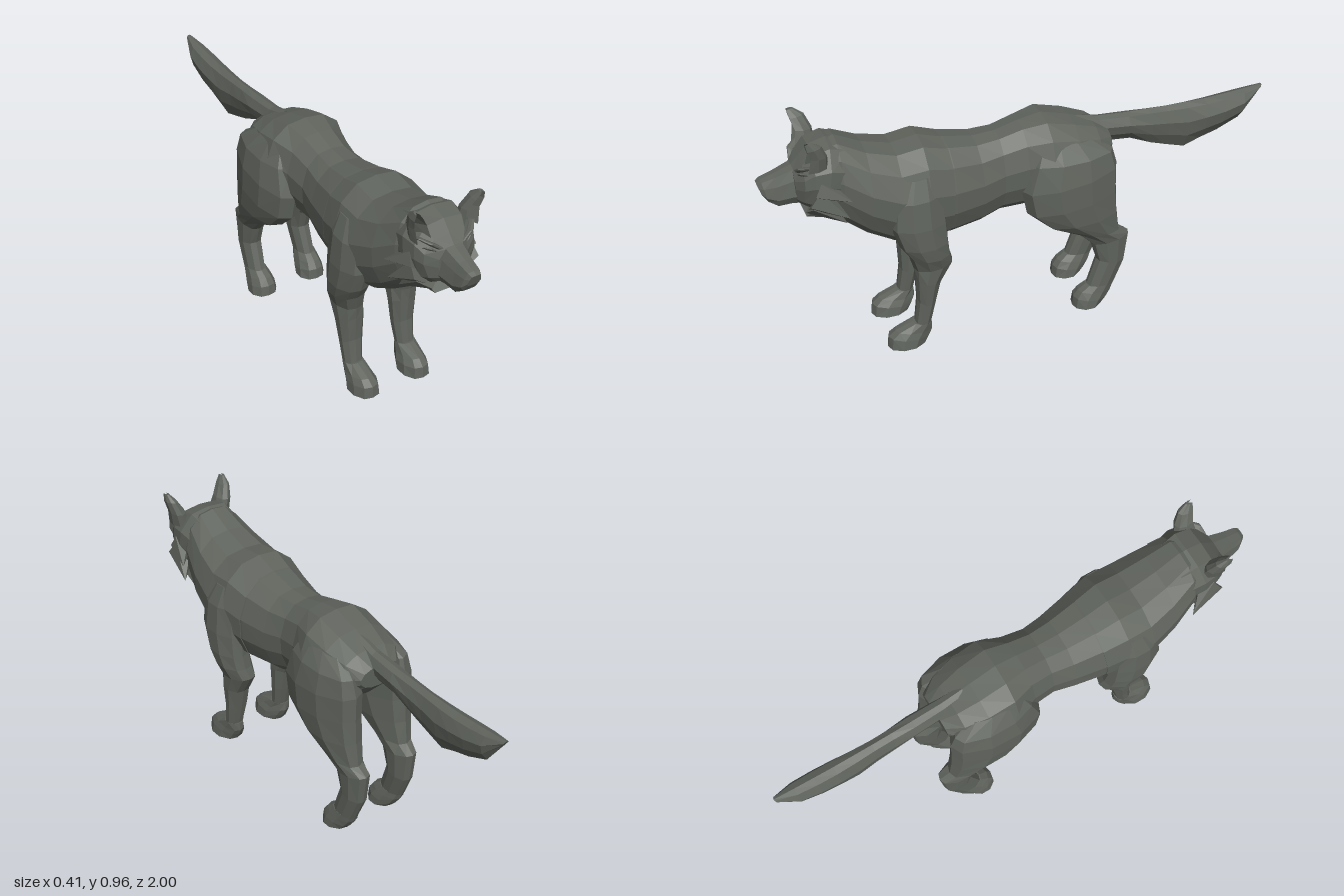
import * as THREE from 'three';

const fur = new THREE.MeshStandardMaterial({ color: 0x60645d, flatShading: true });
fur.name = 'dark grey fur';

// Half cross-sections: [width factor, position from +1 (first point) to -1 (second point)]
const TORSO = [[0, 1], [0.45, 0.95], [0.82, 0.68], [1, 0.2], [0.97, -0.25], [0.75, -0.68], [0.42, -0.92], [0, -1]];
const LIMB = [[0, 1], [0.6, 0.88], [1, 0.35], [1, -0.3], [0.55, -0.88], [0, -1]];
const HEAD = [[0, 1], [0.6, 0.93], [0.98, 0.45], [1, 0], [0.8, -0.65], [0.45, -0.95], [0, -1]];
const SNOUT = [[0, 1], [0.6, 0.95], [0.85, 0.4], [1, -0.45], [0.65, -0.95], [0, -1]];
const EAR = [[0, -0.25], [0.85, 1], [1, 0.1], [0.65, -0.7], [0, -1]];
const TAIL = [[0, 1], [0.6, 0.85], [1, 0.3], [0.75, -0.35], [0, -1]];

// Loft through rows of [z1, y1, z2, y2, halfWidth, centreX]
function loft(name, rows, half, side = 1) {
  const profile = [...half, ...half.slice(1, -1).reverse().map(([w, t]) => [-w, t])];
  const n = profile.length;
  const rings = rows.map(([z1, y1, z2, y2, w, cx = 0]) => profile.map(([u, t]) => {
    const k = (1 - t) / 2;
    return new THREE.Vector3(side * (cx + u * w), y1 + (y2 - y1) * k, z1 + (z2 - z1) * k);
  }));
  const tris = [];
  for (let r = 0; r < rings.length - 1; r++) {
    for (let i = 0; i < n; i++) {
      const j = (i + 1) % n, a = rings[r], b = rings[r + 1];
      tris.push([a[i], b[i], b[j]], [a[i], b[j], a[j]]);
    }
  }
  const cap = (ring, flip) => {
    const c = ring.reduce((s, p) => s.add(p), new THREE.Vector3()).divideScalar(n);
    ring.forEach((p, i) => {
      const q = ring[(i + 1) % n];
      tris.push(flip ? [c, q, p] : [c, p, q]);
    });
  };
  cap(rings[0], false);
  cap(rings[rings.length - 1], true);
  // Turn the whole surface outward when its enclosed volume is negative
  const volume = tris.reduce((s, [a, b, c]) => s + a.dot(b.clone().cross(c)), 0);
  const points = tris.flatMap(([a, b, c]) => (volume < 0 ? [a, c, b] : [a, b, c]));
  const geo = new THREE.BufferGeometry().setFromPoints(points);
  geo.computeVertexNormals();
  const mesh = new THREE.Mesh(geo, fur);
  mesh.name = name;
  return mesh;
}

// Pointed fur tuft from a base to a tip
function tuft(name, base, tip, radius) {
  const a = new THREE.Vector3(...base), b = new THREE.Vector3(...tip);
  const dir = b.clone().sub(a);
  const mesh = new THREE.Mesh(new THREE.ConeGeometry(radius, dir.length(), 5), fur);
  mesh.position.copy(a).add(b).multiplyScalar(0.5);
  mesh.quaternion.setFromUnitVectors(new THREE.Vector3(0, 1, 0), dir.normalize());
  mesh.name = name;
  return mesh;
}

export function createModel() {
  const model = new THREE.Group();
  model.name = 'wolf';

  // Shoulders, neck and chest: the mane ends in a small step over the back
  model.add(loft('chestAndNeck', [
    [0.76, 0.885, 0.76, 0.62, 0.1],
    [0.71, 0.905, 0.71, 0.56, 0.13],
    [0.61, 0.855, 0.62, 0.49, 0.16],
    [0.5, 0.825, 0.52, 0.435, 0.18],
    [0.4, 0.84, 0.41, 0.42, 0.182],
    [0.3, 0.808, 0.32, 0.42, 0.165],
  ], TORSO));

  // Waist, hips and rump
  model.add(loft('waistAndHips', [
    [0.38, 0.82, 0.36, 0.425, 0.165],
    [0.3, 0.81, 0.3, 0.422, 0.162],
    [0.19, 0.79, 0.18, 0.44, 0.14],
    [0.1, 0.795, 0.1, 0.468, 0.125],
    [0.01, 0.82, 0.01, 0.47, 0.135],
    [-0.08, 0.836, -0.08, 0.49, 0.17],
    [-0.19, 0.805, -0.18, 0.53, 0.165],
    [-0.28, 0.77, -0.27, 0.57, 0.14],
    [-0.34, 0.73, -0.335, 0.64, 0.09],
  ], TORSO));

  // Tail with a ragged lower edge
  model.add(loft('tail', [
    [-0.22, 0.795, -0.3, 0.68, 0.03],
    [-0.31, 0.772, -0.34, 0.655, 0.036],
    [-0.43, 0.763, -0.45, 0.645, 0.04],
    [-0.52, 0.76, -0.54, 0.605, 0.036],
    [-0.6, 0.757, -0.6, 0.585, 0.036],
    [-0.68, 0.757, -0.68, 0.56, 0.042],
    [-0.76, 0.757, -0.75, 0.585, 0.046],
    [-0.84, 0.762, -0.82, 0.605, 0.046],
    [-0.92, 0.768, -0.91, 0.645, 0.04],
    [-1, 0.776, -0.985, 0.75, 0.012],
  ], TAIL));

  // Skull and muzzle
  model.add(loft('skull', [
    [0.67, 0.88, 0.74, 0.61, 0.12],
    [0.74, 0.903, 0.78, 0.62, 0.13],
    [0.805, 0.885, 0.82, 0.645, 0.122],
    [0.842, 0.845, 0.85, 0.665, 0.105],
    [0.872, 0.812, 0.87, 0.672, 0.06],
  ], HEAD));
  model.add(loft('muzzle', [
    [0.83, 0.83, 0.83, 0.665, 0.065],
    [0.88, 0.81, 0.88, 0.67, 0.056],
    [0.935, 0.79, 0.93, 0.665, 0.046],
    [0.985, 0.775, 0.965, 0.69, 0.04],
    [1, 0.765, 0.985, 0.72, 0.028],
  ], SNOUT));
  model.add(tuft('throatTuft', [0, 0.65, 0.79], [0, 0.545, 0.7], 0.075));

  for (const side of [1, -1]) {
    const label = side > 0 ? 'left' : 'right';
    const add = (part, rows, profile) => model.add(loft(label + part, rows, profile, side));

    // Cupped ear
    add('Ear', [
      [0.835, 0.835, 0.755, 0.84, 0.034, 0.095],
      [0.825, 0.895, 0.76, 0.89, 0.03, 0.108],
      [0.837, 0.935, 0.782, 0.94, 0.021, 0.124],
      [0.843, 0.962, 0.818, 0.965, 0.008, 0.132],
    ], EAR);

    // Brow ridge above a small narrow eye
    add('Brow', [
      [0.868, 0.812, 0.84, 0.8, 0.012, 0.045],
      [0.862, 0.838, 0.825, 0.825, 0.012, 0.08],
      [0.825, 0.852, 0.79, 0.845, 0.008, 0.112],
    ], LIMB);
    add('Eye', [
      [0.863, 0.805, 0.84, 0.795, 0.005, 0.064],
      [0.858, 0.818, 0.83, 0.795, 0.008, 0.08],
      [0.84, 0.82, 0.825, 0.81, 0.004, 0.098],
    ], LIMB);

    // Cheek ruff
    [
      [[0.1, 0.75, 0.79], [0.162, 0.71, 0.69], 0.045],
      [[0.09, 0.71, 0.805], [0.15, 0.635, 0.7], 0.055],
      [[0.06, 0.68, 0.8], [0.1, 0.585, 0.7], 0.06],
    ].forEach(([b, t, r], i) => model.add(
      tuft(label + 'CheekTuft' + (i + 1), [side * b[0], b[1], b[2]], [side * t[0], t[1], t[2]], r)));

    // Front leg, from shoulder to paw
    add('FrontLeg', [
      [0.5, 0.74, 0.37, 0.75, 0.035, 0.125],
      [0.54, 0.66, 0.35, 0.67, 0.055, 0.137],
      [0.55, 0.55, 0.34, 0.55, 0.066, 0.137],
      [0.52, 0.46, 0.335, 0.46, 0.066, 0.137],
      [0.485, 0.405, 0.328, 0.4, 0.064, 0.13],
      [0.465, 0.34, 0.315, 0.355, 0.055, 0.118],
      [0.46, 0.29, 0.365, 0.27, 0.053, 0.116],
      [0.455, 0.19, 0.388, 0.17, 0.044, 0.114],
      [0.468, 0.09, 0.408, 0.085, 0.036, 0.116],
    ], LIMB);
    add('FrontPaw', [
      [0.475, 0.095, 0.403, 0.09, 0.037, 0.116],
      [0.545, 0.068, 0.4, 0.055, 0.042, 0.114],
      [0.572, 0.045, 0.412, 0.03, 0.05, 0.112],
      [0.577, 0, 0.43, 0, 0.054, 0.112],
    ], LIMB);

    // Hind leg, from thigh over the hock to the paw
    add('HindLeg', [
      [-0.04, 0.77, -0.25, 0.75, 0.04, 0.1],
      [0.0, 0.69, -0.325, 0.7, 0.065, 0.118],
      [0.035, 0.58, -0.345, 0.63, 0.084, 0.116],
      [0.015, 0.48, -0.345, 0.53, 0.082, 0.118],
      [-0.06, 0.41, -0.35, 0.43, 0.074, 0.118],
      [-0.18, 0.35, -0.362, 0.335, 0.055, 0.116],
      [-0.25, 0.28, -0.405, 0.305, 0.044, 0.112],
      [-0.275, 0.2, -0.388, 0.18, 0.04, 0.112],
      [-0.235, 0.085, -0.345, 0.08, 0.036, 0.115],
    ], LIMB);
    add('HindPaw', [
      [-0.232, 0.09, -0.345, 0.085, 0.037, 0.115],
      [-0.2, 0.068, -0.335, 0.055, 0.044, 0.113],
      [-0.182, 0.042, -0.315, 0.025, 0.051, 0.112],
      [-0.178, 0, -0.292, 0, 0.054, 0.112],
    ], LIMB);
  }
  return model;
}
